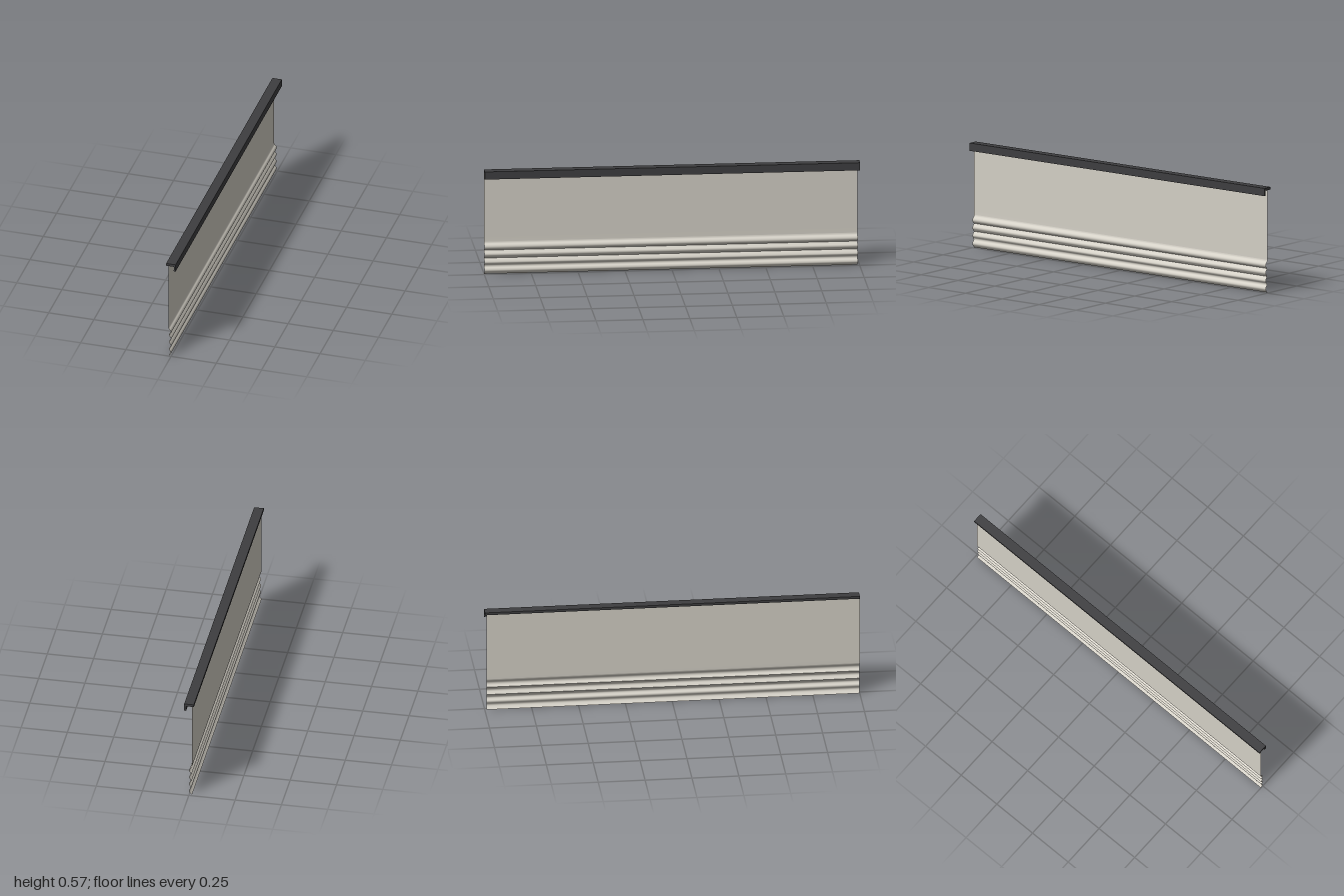
import * as THREE from 'three';

const sheetMat = new THREE.MeshStandardMaterial({ name: 'warmGreySheet', color: 0xd3cfc5, side: THREE.DoubleSide });
const railMat = new THREE.MeshStandardMaterial({ name: 'charcoalRail', color: 0x3e3e40 });

// Sweeps an open x,y profile along z, smooth across the profile
function strip(points, zBack, zFront) {
  const pos = [], index = [];
  points.forEach((p, i) => {
    pos.push(p.x, p.y, zBack, p.x, p.y, zFront);
    if (i > 0) {
      const a = 2 * i - 2;
      index.push(a, a + 2, a + 1, a + 1, a + 2, a + 3);
    }
  });
  const geo = new THREE.BufferGeometry();
  geo.setAttribute('position', new THREE.Float32BufferAttribute(pos, 3));
  geo.setIndex(index);
  geo.computeVertexNormals();
  return geo;
}

function curve(pairs, steps) {
  return new THREE.SplineCurve(pairs.map(([x, y]) => new THREE.Vector2(x, y))).getPoints(steps);
}

export function createModel() {
  const group = new THREE.Group();
  const add = (geo, mat, name) => {
    const mesh = new THREE.Mesh(geo, mat);
    mesh.name = name;
    group.add(mesh);
  };

  // Hanging sheet: flat panel, then ripples that meet in sharp valleys
  const flat = [new THREE.Vector2(-0.015, 0.557), new THREE.Vector2(-0.015, 0.2)];
  const ripples = [
    [[-0.015, 0.177], [-0.012, 0.168], [-0.004, 0.16], [0, 0.15], [-0.003, 0.14], [-0.013, 0.13]],
    [[-0.013, 0.13], [-0.006, 0.12], [-0.001, 0.112], [-0.001, 0.104], [-0.006, 0.096], [-0.013, 0.087]],
    [[-0.013, 0.087], [-0.005, 0.077], [0, 0.066], [-0.003, 0.058], [-0.009, 0.051], [-0.011, 0.045],
      [-0.009, 0.038], [-0.003, 0.031], [0, 0.021], [-0.005, 0.011], [-0.015, 0]],
  ];
  ripples.forEach((pairs, i) => {
    const points = curve(pairs, (pairs.length - 1) * 4);
    add(strip(i === 0 ? [...flat, ...points] : points, -0.99, 1), sheetMat, i === 0 ? 'panel' : 'ripple' + i);
  });

  // Top rail: flat cap with a down-turned lip, slightly thicker at its lower edge
  const rail = new THREE.Shape([
    [-0.027, 0.556], [0.015, 0.556], [0.015, 0.538], [0.0138, 0.535], [0.0138, 0.531],
    [0.016, 0.528], [0.025, 0.528], [0.025, 0.57], [-0.027, 0.57],
  ].map(([x, y]) => new THREE.Vector2(x, y)));
  const railGeo = new THREE.ExtrudeGeometry(rail, { depth: 2, bevelEnabled: false });
  railGeo.translate(0, 0, -1);
  add(railGeo, railMat, 'topRail');

  return group;
}
